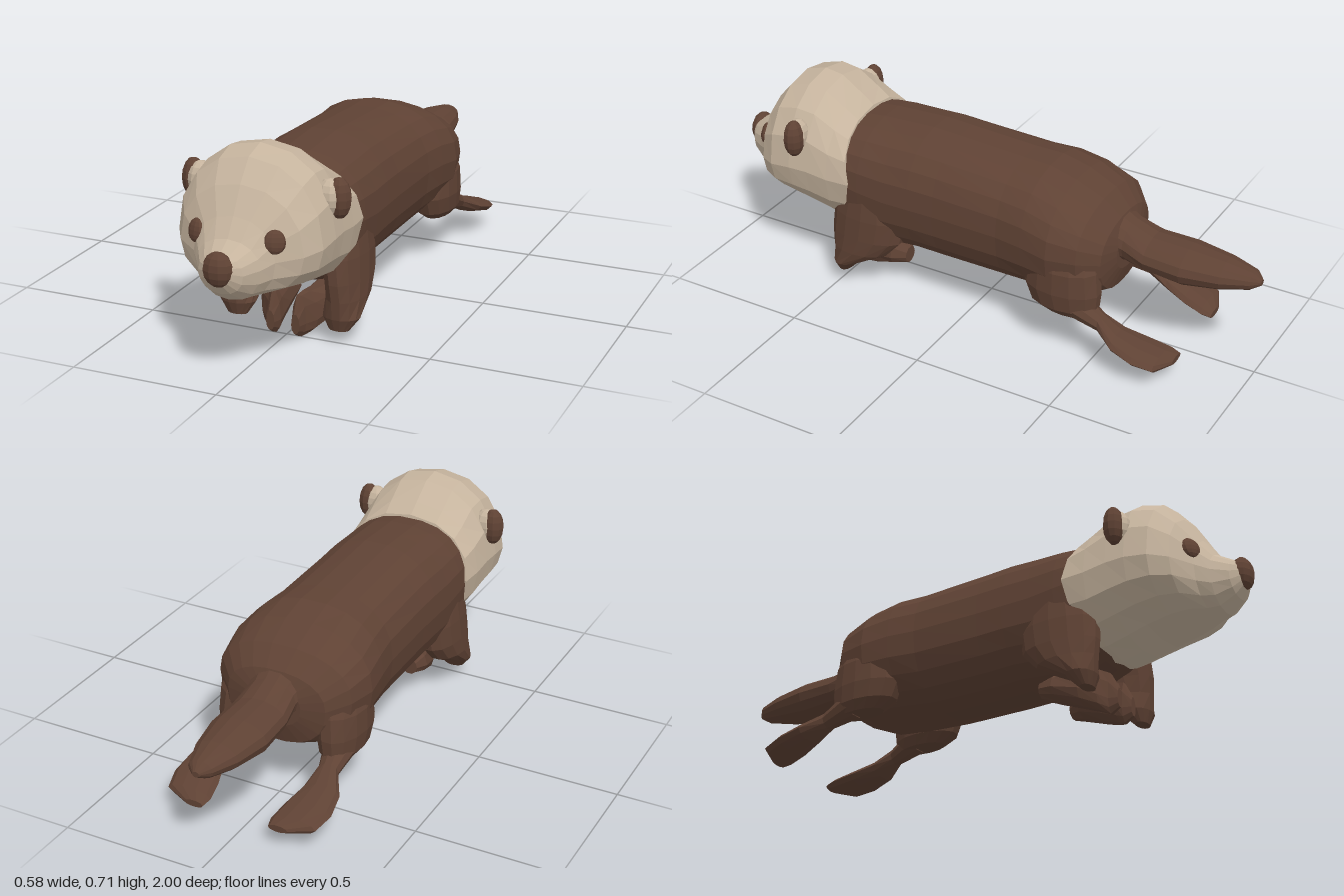
import * as THREE from 'three';

const mat = (name, color) => {
  const m = new THREE.MeshStandardMaterial({ color, flatShading: true });
  m.name = name;
  return m;
};

export function createModel() {
  const model = new THREE.Group();
  model.name = 'otter';
  const brown = mat('brownFur', 0x5f4234);
  const cream = mat('creamFur', 0xc6b49e);

  const add = (name, geo, material) => {
    const mesh = new THREE.Mesh(geo, material);
    mesh.name = name;
    model.add(mesh);
    return mesh;
  };

  // Skin over cross-sections [x, y, z, half width, reach up, reach down, shear],
  // ordered by rising z. 'power' above 2 makes the sections squarer.
  function loft(name, material, sections, n = 14, power = 2) {
    const pos = [], idx = [];
    const bend = (v) => Math.sign(v) * Math.abs(v) ** (2 / power);
    for (const [x, y, z, w, up, down = up, shear = 0] of sections) {
      for (let j = 0; j < n; j++) {
        const a = (j / n) * Math.PI * 2;
        const c = bend(Math.cos(a)), s = bend(Math.sin(a));
        pos.push(x + c * w, y + s * (s > 0 ? up : down), z + shear * Math.abs(s));
      }
    }
    const last = sections.length - 1;
    for (let i = 0; i < last; i++) {
      for (let j = 0; j < n; j++) {
        const k = (j + 1) % n, a = i * n + j, b = i * n + k;
        idx.push(a, b, b + n, a, b + n, a + n);
      }
    }
    const c0 = pos.length / 3;
    pos.push(...sections[0].slice(0, 3), ...sections[last].slice(0, 3));
    for (let j = 0; j < n; j++) {
      const k = (j + 1) % n;
      idx.push(c0, k, j, c0 + 1, last * n + j, last * n + k);
    }
    const indexed = new THREE.BufferGeometry();
    indexed.setAttribute('position', new THREE.Float32BufferAttribute(pos, 3));
    indexed.setIndex(idx);
    const geo = indexed.toNonIndexed();
    geo.computeVertexNormals();
    return add(name, geo, material);
  }

  // Upright skin from [x, y, z, half width, half depth], ordered by rising y
  function upright(name, material, sections, n = 14) {
    const mesh = loft(name, material, sections.map(([x, y, z, w, d]) => [x, -z, y, w, d]), n);
    mesh.geometry.rotateX(-Math.PI / 2);
    return mesh;
  }

  // Sections on the centre line given as [z, middle, half width, top, bottom, shear]
  const central = (rows) => rows.map(([z, y, w, top, bottom, shear]) =>
    [0, y, z, w, top - y, y - bottom, shear]);

  function blob(name, material, center, size, facing = [0, 0, 1]) {
    const geo = new THREE.SphereGeometry(1, 10, 8).scale(...size);
    const mesh = add(name, geo, material);
    mesh.position.set(...center);
    mesh.quaternion.setFromUnitVectors(
      new THREE.Vector3(0, 0, 1), new THREE.Vector3(...facing).normalize());
    return mesh;
  }

  // Trunk
  loft('body', brown, central([
    [-0.53, 0.36, 0.1, 0.42, 0.28],
    [-0.51, 0.36, 0.18, 0.47, 0.21],
    [-0.45, 0.38, 0.245, 0.53, 0.185],
    [-0.35, 0.38, 0.267, 0.575, 0.175],
    [-0.25, 0.39, 0.255, 0.6, 0.165],
    [-0.15, 0.39, 0.24, 0.602, 0.155],
    [0.1, 0.39, 0.235, 0.615, 0.152],
    [0.2, 0.39, 0.237, 0.62, 0.155],
    [0.3, 0.39, 0.238, 0.615, 0.145],
    [0.4, 0.4, 0.238, 0.61, 0.16],
    [0.48, 0.41, 0.233, 0.6, 0.195],
    [0.52, 0.4, 0.19, 0.55, 0.215],
  ]), 22, 2.3);

  // Tail, flattened from top to bottom
  loft('tail', brown, central([
    [-1, 0.355, 0.012, 0.365, 0.345],
    [-0.97, 0.358, 0.045, 0.388, 0.327],
    [-0.88, 0.355, 0.08, 0.405, 0.306],
    [-0.75, 0.355, 0.105, 0.417, 0.288],
    [-0.62, 0.36, 0.1, 0.42, 0.3],
    [-0.54, 0.385, 0.09, 0.45, 0.31],
    [-0.45, 0.41, 0.11, 0.5, 0.3],
  ]), 14);

  // Head with cheeks narrowing to the muzzle
  loft('head', cream, central([
    [0.435, 0.42, 0.243, 0.612, 0.205, 0.04],
    [0.52, 0.42, 0.248, 0.645, 0.2],
    [0.6, 0.43, 0.25, 0.698, 0.22],
    [0.67, 0.43, 0.253, 0.708, 0.24],
    [0.75, 0.42, 0.247, 0.685, 0.258],
    [0.81, 0.41, 0.21, 0.615, 0.268],
    [0.86, 0.4, 0.138, 0.53, 0.27],
    [0.9, 0.385, 0.108, 0.47, 0.275],
    [0.95, 0.38, 0.075, 0.442, 0.312],
    [0.975, 0.39, 0.042, 0.432, 0.347],
  ]), 16, 2.15);
  blob('nose', brown, [0, 0.396, 0.965], [0.051, 0.056, 0.035]);

  for (const s of [1, -1]) {
    const side = s > 0 ? 'left' : 'right';

    // Face details
    blob(side + 'Eye', brown, [s * 0.132, 0.463, 0.85], [0.035, 0.038, 0.018], [s * 0.75, 0.35, 1.4]);
    blob(side + 'EarRim', brown, [s * 0.25, 0.552, 0.64], [0.04, 0.067, 0.035]);
    blob(side + 'InnerEar', cream, [s * 0.222, 0.553, 0.644], [0.05, 0.06, 0.042]);

    // Front leg, merging with the trunk at the shoulder, and tucked paw
    upright(side + 'FrontLeg', brown, [
      [s * 0.182, 0.047, 0.49, 0.035, 0.022],
      [s * 0.185, 0.09, 0.475, 0.064, 0.05],
      [s * 0.185, 0.15, 0.42, 0.066, 0.11],
      [s * 0.18, 0.21, 0.395, 0.068, 0.14],
      [s * 0.17, 0.29, 0.385, 0.073, 0.145],
      [s * 0.155, 0.39, 0.38, 0.075, 0.12],
    ]);
    loft(side + 'FrontPaw', brown, [
      [s * 0.1, 0.115, 0.275, 0.03, 0.03],
      [s * 0.085, 0.105, 0.33, 0.06, 0.06, 0.04],
      [s * 0.075, 0.085, 0.42, 0.055, 0.075, 0.055],
      [s * 0.06, 0.06, 0.475, 0.04, 0.1, 0.05],
      [s * 0.045, 0.05, 0.5, 0.025, 0.1, 0.05],
      [s * 0.045, 0.05, 0.53, 0.015, 0.04, 0.03],
    ], 10);

    // Thigh, then shank running into a flat webbed foot
    upright(side + 'Thigh', brown, [
      [s * 0.185, 0.16, -0.4, 0.045, 0.09],
      [s * 0.185, 0.19, -0.385, 0.07, 0.125],
      [s * 0.183, 0.25, -0.375, 0.08, 0.14],
      [s * 0.175, 0.33, -0.375, 0.085, 0.13],
      [s * 0.15, 0.42, -0.37, 0.08, 0.1],
    ]);
    loft(side + 'HindFoot', brown, [
      [s * 0.155, 0.075, -0.785, 0.035, 0.012],
      [s * 0.192, 0.083, -0.75, 0.08, 0.022],
      [s * 0.207, 0.1, -0.68, 0.083, 0.026],
      [s * 0.213, 0.125, -0.6, 0.065, 0.027],
      [s * 0.2, 0.16, -0.53, 0.036, 0.03],
      [s * 0.19, 0.205, -0.42, 0.06, 0.05],
    ], 10);
  }
  return model;
}
